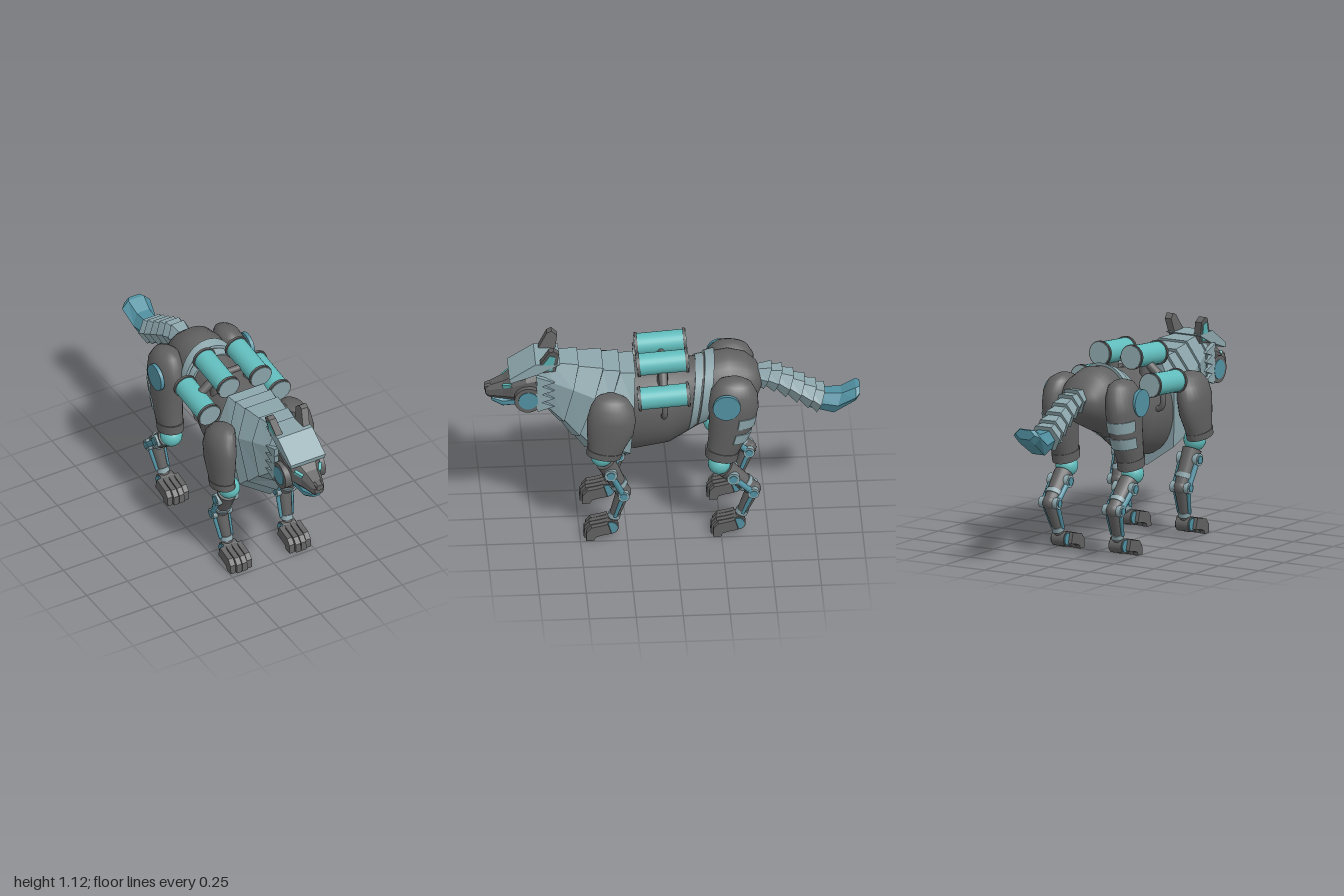
import * as THREE from 'three';
import { toCreasedNormals } from 'three/addons/utils/BufferGeometryUtils.js';

const material = (name, color) => Object.assign(new THREE.MeshStandardMaterial({ color }), { name });
const dark = material('dark grey shell', 0x616161);
const plate = material('pale armour', 0x8ca6ac);
const teal = material('bright teal', 0x62bdbd);
const blue = material('deep teal', 0x5191a2);
const V = (x, y, z) => new THREE.Vector3(x, y, z);

function add(parent, name, geo, mat, pos) {
  const mesh = new THREE.Mesh(geo, mat);
  mesh.name = name;
  if (pos) mesh.position.copy(pos);
  parent.add(mesh);
  return mesh;
}

// Closed skin through rings of equal length; corner order is fixed by signed volume
function loft(parent, name, rings, mat, smooth = false) {
  const n = rings[0].length, pts = rings.flat(), tris = [];
  for (let r = 0; r < rings.length - 1; r++) for (let i = 0; i < n; i++) {
    const a = r * n + i, b = r * n + (i + 1) % n;
    tris.push([a, b, b + n], [a, b + n, a + n]);
  }
  const cap = (start, flip) => {
    const c = V(0, 0, 0);
    for (let i = 0; i < n; i++) c.addScaledVector(pts[start + i], 1 / n);
    const k = pts.push(c) - 1;
    for (let i = 0; i < n; i++) {
      const a = start + i, b = start + (i + 1) % n;
      tris.push(flip ? [k, b, a] : [k, a, b]);
    }
  };
  cap(0, true);
  cap((rings.length - 1) * n, false);
  let volume = 0;
  for (const [a, b, c] of tris) volume += pts[a].dot(V(0, 0, 0).crossVectors(pts[b], pts[c]));
  const geo = new THREE.BufferGeometry().setFromPoints(pts);
  geo.setIndex(tris.flatMap(([a, b, c]) => volume > 0 ? [a, b, c] : [a, c, b]));
  return add(parent, name, toCreasedNormals(geo, smooth ? 0.75 : 0.02), mat);
}

// Oval rings: level ones for legs, upright ones for the torso
const level = ([x, y, z, rx, rz], s = 1, tilt = 0, n = 28) => Array.from({ length: n }, (_, i) => {
  const a = i / n * Math.PI * 2;
  return V(s * (x + rx * Math.cos(a)), y + tilt * rz * Math.sin(a), z + rz * Math.sin(a));
});
const upright = ([z, top, bottom, rx], tilt = 0, n = 36) => Array.from({ length: n }, (_, i) => {
  const a = i / n * Math.PI * 2;
  return V(rx * Math.cos(a), (top + bottom) / 2 + (top - bottom) / 2 * Math.sin(a), z + tilt * Math.sin(a));
});
// Faceted upright section
const facet = ([z, top, bottom, w]) => [[.6, 0], [1, .3], [1, .75], [.6, 1], [-.6, 1], [-1, .75], [-1, .3], [-.6, 0]]
  .map(([u, t]) => V(u * w, top + (bottom - top) * t, z));
// Side profile in (z, y) given thickness along x, optionally leaning outward with height
const prism = (parent, name, prof, x0, x1, mat, s = 1, lean = 0) =>
  loft(parent, name, [x0, x1].map(x => prof.map(([z, y]) => V(s * (x + lean * (y - 1)), y, z))), mat);

function rod(parent, name, a, b, r0, r1, mat, n = 16) {
  const d = b.clone().sub(a);
  const m = add(parent, name, new THREE.CylinderGeometry(r1, r0, d.length(), n), mat, a.clone().add(b).multiplyScalar(.5));
  m.quaternion.setFromUnitVectors(V(0, 1, 0), d.normalize());
  return m;
}
const disc = (parent, name, p, r, w, mat) =>
  rod(parent, name, V(p.x - w / 2, p.y, p.z), V(p.x + w / 2, p.y, p.z), r, r, mat, 24);
const ball = (parent, name, p, r, mat) => add(parent, name, new THREE.SphereGeometry(r, 24, 16), mat, p);

function buildTorso(g) {
  loft(g, 'torso', [[.36, .86, .55, .1], [.3, .93, .46, .16], [.2, .95, .445, .18], [.02, .95, .48, .18], [-.12, .97, .57, .16],
    [-.2, .995, .62, .152], [-.3, 1.01, .66, .155], [-.39, .985, .7, .145], [-.45, .93, .75, .11], [-.475, .88, .8, .05]]
    .map(r => upright(r)), dark, true);
  loft(g, 'rearStrap', [[-.2, 1.015, .6, .168], [-.15, 1.0, .58, .174]].map(r => upright(r, -.025)), plate, true);
  loft(g, 'frontStrap', [[-.14, .985, .58, .17], [-.1, .975, .55, .178]].map(r => upright(r, -.025)), plate, true);
  // Overlapping mane shells, each flaring towards the back and chest
  const sections = [[.71, 1.02, .75, .75, .088], [.64, 1.03, .68, .7, .118], [.5, 1.015, .6, .61, .15],
    [.37, .995, .53, .515, .172], [.28, .98, .465, .44, .184], [.2, .965, .235, .38, .187]];
  const outline = [[.58, 0], [1, .3], [.92, .8], [0, 1], [-.92, .8], [-1, .3], [-.58, 0]];
  const maneRing = ([zt, yt, zb, yb, w], k) => outline.map(([u, t]) =>
    V(u * w * k, yt + (yb - yt) * (.5 + (t - .5) * k), zt + (zb - zt) * t));
  for (let i = 0; i < sections.length - 1; i++)
    loft(g, 'maneShell', [maneRing(sections[i], i ? .94 : 1), maneRing(sections[i + 1], 1)], plate);
}

function buildHead(g) {
  loft(g, 'skull', [[.66, .99, .8, .085], [.78, .97, .78, .098], [.85, .93, .785, .085], [.9, .895, .785, .058], [.975, .862, .79, .036], [.992, .85, .805, .028]]
    .map(facet), dark);
  loft(g, 'jaw', [[.76, .81, .75, .06], [.9, .79, .735, .045], [.96, .795, .765, .028]].map(facet), blue);
  loft(g, 'nose', [[.965, .872, .84, .026], [.998, .862, .83, .02]].map(facet), dark);
  prism(g, 'browVisor', [[.6, 1.03], [.73, 1.035], [.87, .945], [.865, .92], [.72, .97]], -.105, .105, plate);
  for (const s of [1, -1]) {
    prism(g, 'ear', [[.745, .965], [.66, 1.115], [.635, 1.125], [.605, 1.1], [.625, .98]], .055, .095, dark, s, .2);
    prism(g, 'innerEar', [[.72, .985], [.655, 1.095], [.625, 1.085], [.64, .99]], .09, .099, teal, s, .2);
    const eye = add(g, 'eye', new THREE.BoxGeometry(.016, .02, .05), teal, V(s * .064, .882, .88));
    eye.rotation.set(.4, -s * .56, 0);
    disc(g, 'earGuard', V(s * .1, .82, .77), .074, .045, dark);
    disc(g, 'earGuardLens', V(s * .122, .82, .77), .052, .009, blue);
    // Jagged cheek ruff
    for (let i = 0; i < 4; i++) {
      const y = .93 - i * .05;
      prism(g, 'cheekRuff', [[.73, y + .04], [.63, y], [.72, y - .03]], .1, .125, plate, s);
    }
  }
}

function buildCanisters(g) {
  for (const s of [1, -1]) {
    for (const [x, y, r] of [[.098, 1.02, .064], [.215, .88, .064]]) {
      const at = t => V(s * x, y - .01 + .02 * t, .19 - .27 * t);
      rod(g, 'canister', at(0), at(1), r - .004, r - .004, teal, 28);
      for (const [a, b] of [[0, .05], [.95, 1]]) rod(g, 'canisterRim', at(a), at(b), r + .003, r + .003, dark, 28);
      for (const [a, b] of [[-.015, .02], [.98, 1.015]]) rod(g, 'canisterCap', at(a), at(b), r - .003, r - .003, plate, 28);
    }
    rod(g, 'canisterLink', V(s * .09, 1, .055), V(s * .215, .9, .055), .024, .024, dark);
    rod(g, 'canisterMount', V(s * .1, .98, .055), V(s * .1, .86, .055), .03, .03, dark);
    const hook = new THREE.CatmullRomCurve3([V(s * .21, .84, .05), V(s * .215, .77, .05), V(s * .195, .74, .052), V(s * .15, .74, .055)]);
    add(g, 'hose', new THREE.TubeGeometry(hook, 16, .016, 10), dark);
  }
  rod(g, 'crossBar', V(-.1, 1, .055), V(.1, 1, .055), .018, .018, dark);
}

// Jointed shin, pistons, ankle and four toes below a ball joint
function buildLowerLeg(g, s, hip, knee, ankle) {
  const [a, b, c] = [hip, knee, ankle].map(([x, y, z]) => V(s * x, y, z));
  const mix = (p, q, t) => p.clone().lerp(q, t);
  ball(g, 'ballJoint', a, .06, teal);
  rod(g, 'upperShin', mix(a, b, .2), b, .052, .04, dark);
  ball(g, 'kneeCap', b, .042, dark);
  rod(g, 'lowerShin', b, mix(b, c, .85), .039, .026, dark);
  rod(g, 'shinBand', mix(a, b, .72), mix(a, b, .82), .05, .048, plate);
  rod(g, 'ankleCollar', mix(b, c, .66), mix(b, c, .78), .034, .034, plate);
  for (const side of [1, -1]) {
    const out = (p, d) => p.clone().add(V(side * d, 0, 0));
    const top = out(mix(a, b, .4), .05), low = out(b, .043), end = out(mix(b, c, .7), .034);
    rod(g, 'upperPiston', top, low, .016, .016, blue, 10);
    rod(g, 'lowerPiston', low, end, .013, .009, blue, 10);
    for (const [p, r] of [[top, .034], [low, .03]]) {
      disc(g, 'pivot', p, r, .028, plate);
      disc(g, 'pivotCore', out(p, .015), r * .65, .008, blue);
    }
    disc(g, 'ankleLens', out(c, .04), .033, .009, blue);
  }
  disc(g, 'ankle', c, .04, .078, dark);
  const toe = [[.145, 0], [.142, .05], [.115, .08], [.06, .09], [.02, .1], [.0, .04], [.06, .03], [.09, .02], [.1, 0]];
  for (let i = 0; i < 4; i++) {
    const x = ankle[0] + (i - 1.5) * .0335, reach = i % 3 ? 1 : .93;
    prism(g, 'toe', toe.map(([z, y]) => [c.z + z * reach, y]), x - .0145, x + .0145, dark, s);
  }
}

function buildLegs(g) {
  const shoulder = [[.2, .888, .33, .03, .04], [.212, .872, .33, .055, .085], [.228, .83, .33, .069, .115], [.237, .76, .335, .073, .13],
    [.24, .68, .342, .07, .124], [.243, .6, .362, .062, .1], [.245, .55, .372, .057, .088]];
  const thigh = [[.18, .955, -.33, .03, .045], [.185, .935, -.325, .06, .09], [.194, .88, -.32, .078, .125], [.198, .8, -.317, .083, .133],
    [.2, .7, -.305, .08, .12], [.202, .6, -.282, .073, .1], [.203, .52, -.258, .066, .084]];
  for (const s of [1, -1]) {
    const front = new THREE.Group(), rear = new THREE.Group();
    front.name = 'frontLeg';
    rear.name = 'hindLeg';
    g.add(front, rear);
    loft(front, 'shoulder', shoulder.map(r => level(r, s, .1)), dark, true);
    loft(front, 'shoulderCuff', [[.245, .575, .37, .062, .096], [.245, .54, .378, .061, .092]].map(r => level(r, s, .18)), dark, true);
    buildLowerLeg(front, s, [.208, .515, .385], [.195, .275, .27], [.18, .065, .335]);
    loft(rear, 'thigh', thigh.map(r => level(r, s, .1)), dark, true);
    loft(rear, 'thighCuff', [[.203, .53, -.257, .07, .09], [.203, .48, -.25, .068, .086]].map(r => level(r, s, .2)), dark, true);
    disc(rear, 'hipLens', V(s * .277, .835, -.275), .074, .02, blue);
    // Armour bands wrapped round the outer back of the thigh
    for (const [hi, lo] of [[[.2, .755, -.31, .088, .132], [.2, .695, -.303, .085, .125]], [[.201, .66, -.296, .083, .119], [.202, .6, -.282, .079, .107]]])
      loft(rear, 'thighBand', [hi, lo].map(r => [V(s * r[0], r[1], r[2]),
        ...level(r, s, .1, 48).filter((_, i) => i >= 31 && i <= 46)]), plate, true);
    buildLowerLeg(rear, s, [.205, .44, -.24], [.198, .27, -.42], [.18, .065, -.34]);
  }
}

function buildTail(g) {
  // Flared segments along a sagging line, then a leaf-shaped tip
  const path = new THREE.CatmullRomCurve3([V(0, .87, -.44), V(0, .845, -.55), V(0, .775, -.67), V(0, .705, -.79)]);
  const count = 6;
  const hex = (p, w, h, slant = 0) => [[.55, 1], [1, 0], [.55, -1], [-.55, -1], [-1, 0], [-.55, 1]]
    .map(([u, v]) => V(u * w, p.y + v * h, p.z + v * slant));
  for (let i = 0; i < count; i++) {
    const a = path.getPoint(i / count), b = path.getPoint((i + 1.25) / count > 1 ? 1 : (i + 1.25) / count);
    loft(g, 'tailSegment', [hex(a, .05 + i * .003, .042, -.012), hex(b, .07 + i * .004, .066, -.022)], plate);
  }
  loft(g, 'tailTip', [hex(V(0, .705, -.73), .05, .045), hex(V(0, .688, -.88), .07, .06, -.02),
    hex(V(0, .745, -.975), .085, .04), hex(V(0, .76, -.998), .06, .026)], blue);
}

export function createModel() {
  const model = new THREE.Group();
  model.name = 'mechanicalWolf';
  for (const [name, build] of Object.entries({ torso: buildTorso, head: buildHead, canisters: buildCanisters, legs: buildLegs, tail: buildTail })) {
    const part = new THREE.Group();
    part.name = name;
    build(part);
    model.add(part);
  }
  return model;
}
